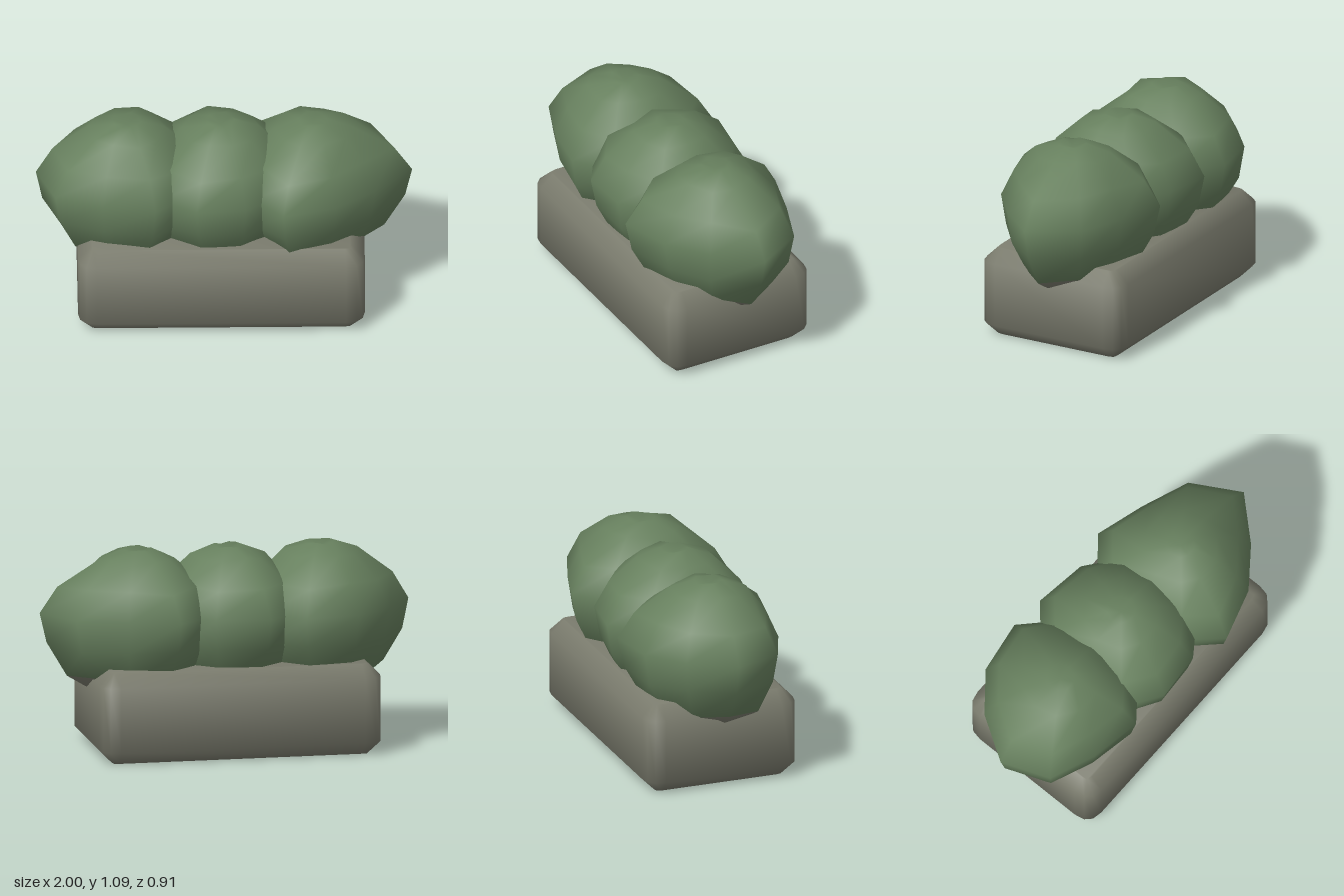
import * as THREE from 'three';
import { toCreasedNormals } from 'three/addons/utils/BufferGeometryUtils.js';

const leafGreen = new THREE.MeshStandardMaterial({ name: 'leafGreen', color: 0x67805e });
const stoneGrey = new THREE.MeshStandardMaterial({ name: 'stoneGrey', color: 0x7a7b6d });

// Trough: rounded plan, one chamfer on the top and bottom edges
function makePlanter() {
  const w = 0.762, d = 0.43, r = 0.1, bevel = 0.07, height = 0.49;
  const s = new THREE.Shape();
  s.moveTo(-w + r, -d);
  s.lineTo(w - r, -d);
  s.quadraticCurveTo(w, -d, w, -d + r);
  s.lineTo(w, d - r);
  s.quadraticCurveTo(w, d, w - r, d);
  s.lineTo(-w + r, d);
  s.quadraticCurveTo(-w, d, -w, d - r);
  s.lineTo(-w, -d + r);
  s.quadraticCurveTo(-w, -d, -w + r, -d);
  const geo = new THREE.ExtrudeGeometry(s, {
    depth: height - 2 * bevel, curveSegments: 3, bevelEnabled: true,
    bevelSegments: 1, bevelSize: bevel, bevelThickness: bevel, bevelOffset: -bevel,
  });
  geo.rotateX(-Math.PI / 2).translate(-0.018, bevel, -0.01);
  geo.deleteAttribute('uv');
  const mesh = new THREE.Mesh(toCreasedNormals(geo, 1), stoneGrey);
  mesh.name = 'planter';
  return mesh;
}

// Bush rings from top to bottom: [height, share of the widest outline]
const rings = [
  [1.09, 0.17], [1.04, 0.46], [0.91, 0.82], [0.76, 1], [0.59, 0.93], [0.42, 0.72], [0.32, 0.4],
];

// Bush: an uneven outline carried down the rings, with a dimple on top
function makeBush(name, cx, outline, seed) {
  const n = outline.length;
  const pos = [cx, 1.06, 0];
  rings.forEach(([y, k], i) => {
    outline.forEach(([x, z], j) => {
      const round = 0.44 / Math.hypot(x, z);
      const f = i < 2 ? k * round : k; // the crown is nearly circular
      const dy = i === 3 ? 0 : 0.012 * Math.sin(seed + j * 2.3 + i * 1.7);
      pos.push(cx + x * f, Math.min(y + dy, 1.09), z * f);
    });
  });
  pos.push(cx, 0.3, 0);

  const index = [];
  const at = (i, j) => 1 + i * n + (j % n);
  for (let j = 0; j < n; j++) index.push(0, at(0, j + 1), at(0, j));
  for (let i = 0; i < rings.length - 1; i++) {
    for (let j = 0; j < n; j++) {
      const a = at(i, j), b = at(i, j + 1), c = at(i + 1, j + 1), d = at(i + 1, j);
      index.push(a, b, c, a, c, d);
    }
  }
  const last = rings.length - 1;
  for (let j = 0; j < n; j++) index.push(at(last, j), at(last, j + 1), pos.length / 3 - 1);

  const geo = new THREE.BufferGeometry();
  geo.setAttribute('position', new THREE.Float32BufferAttribute(pos, 3));
  geo.setIndex(index);
  geo.computeVertexNormals();
  // grey underside, green foliage
  const leafCount = 3 * n + 6 * n * (rings.length - 2);
  geo.addGroup(0, leafCount, 0);
  geo.addGroup(leafCount, index.length - leafCount, 1);
  const mesh = new THREE.Mesh(geo, [leafGreen, stoneGrey]);
  mesh.name = name;
  return mesh;
}

export function createModel() {
  const model = new THREE.Group();
  model.name = 'planterWithBushes';
  model.add(makePlanter());

  // Widest outline of each bush as [x, z] about its centre, clockwise from above
  model.add(makeBush('rightBush', -0.52, [
    [-0.48, -0.01], [-0.33, -0.25], [-0.13, -0.41], [0.16, -0.455], [0.35, -0.27],
    [0.43, 0], [0.33, 0.26], [0.15, 0.4], [-0.13, 0.35], [-0.38, 0.25],
  ], 0));
  model.add(makeBush('middleBush', -0.02, [
    [-0.4, 0], [-0.33, -0.28], [-0.15, -0.44], [0.14, -0.4], [0.33, -0.25],
    [0.42, 0], [0.33, 0.25], [0.13, 0.39], [-0.13, 0.41], [-0.33, 0.28],
  ], 1.3));
  model.add(makeBush('leftBush', 0.47, [
    [-0.42, 0], [-0.33, -0.3], [-0.15, -0.45], [0.12, -0.37], [0.38, -0.27],
    [0.53, -0.01], [0.33, 0.21], [0.12, 0.37], [-0.16, 0.455], [-0.32, 0.28],
  ], 2.6));
  return model;
}
